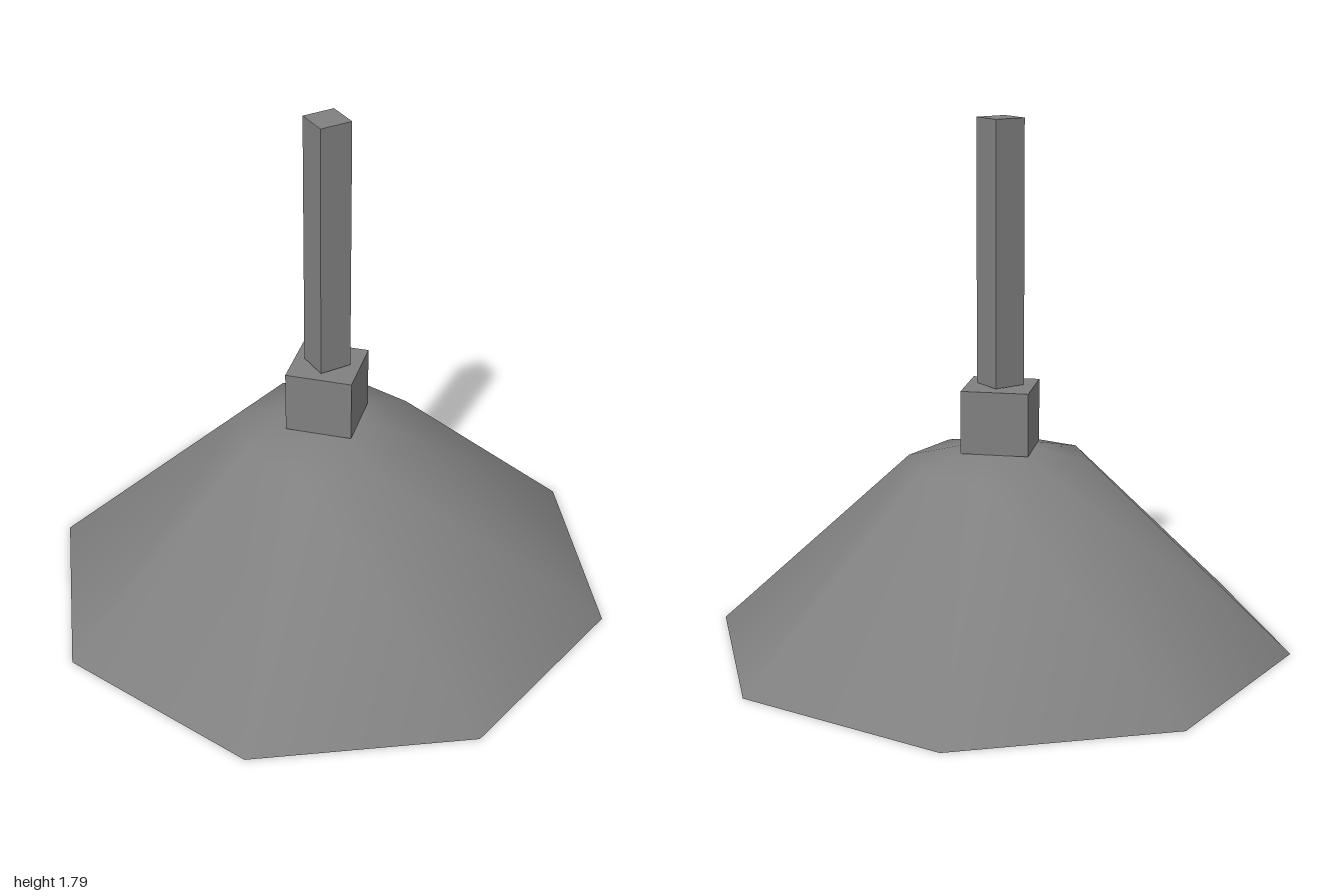
import * as THREE from 'three';

export function createModel() {
  const group = new THREE.Group();
  const smooth = new THREE.MeshStandardMaterial({ color: 0x808080 });
  const flat = new THREE.MeshStandardMaterial({ color: 0x808080, flatShading: true });

  const add = (name, geometry, material, y) => {
    const mesh = new THREE.Mesh(geometry, material);
    mesh.name = name;
    mesh.position.y = y;
    group.add(mesh);
    return mesh;
  };

  // Eight-sided shade with a shallow shoulder, smoothly shaded
  const profile = [[1, 0], [0.32, 0.635], [0.13, 0.68], [0, 0.68]]
    .map(([r, y]) => new THREE.Vector2(r, y));
  add('shade', new THREE.LatheGeometry(profile, 8), smooth, 0);

  // Flat underside closing the shade, corners on the axes
  add('shadeUnderside', new THREE.CircleGeometry(1, 8), flat, 0).rotation.x = Math.PI / 2;

  // Square collar turned corner-on
  add('collar', new THREE.CylinderGeometry(0.162, 0.162, 0.215, 4), flat, 0.7875);

  // Square hanging rod
  add('rod', new THREE.BoxGeometry(0.114, 0.895, 0.114), flat, 1.3475);

  return group;
}
